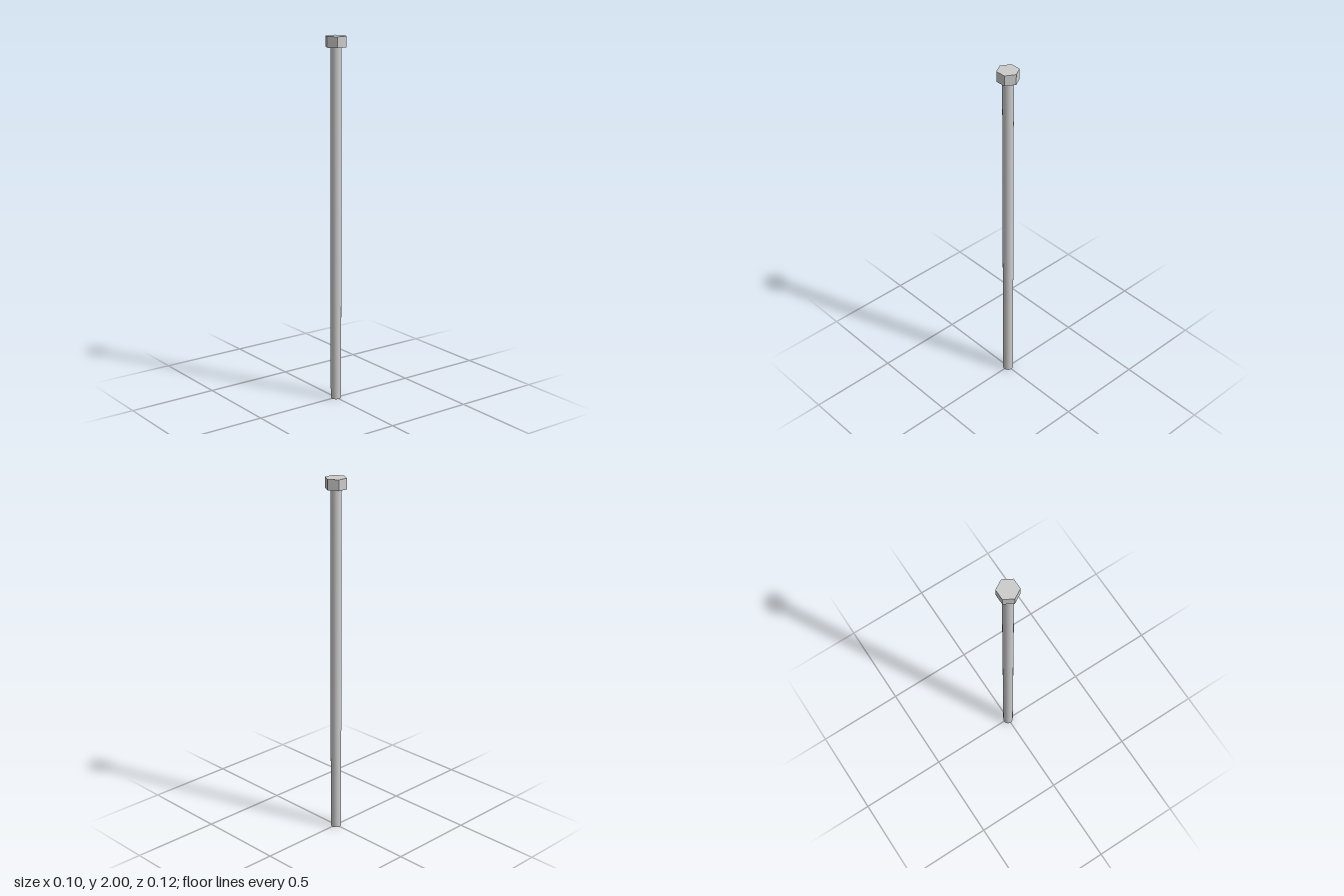
import * as THREE from 'three';

const HEIGHT = 2;
const HEAD_HEIGHT = 0.058;
const HEAD_RADIUS = 0.059; // across the corners, corners on the z axis
const SHANK_RADIUS = 0.029;

export function createModel() {
  const group = new THREE.Group();
  group.name = 'hexBolt';

  // Long round shank, from the ground to the underside of the head
  const shankLength = HEIGHT - HEAD_HEIGHT;
  const shank = new THREE.Mesh(
    new THREE.CylinderGeometry(SHANK_RADIUS, SHANK_RADIUS, shankLength, 32),
    new THREE.MeshStandardMaterial({ color: 0xcccccc })
  );
  shank.name = 'shank';
  shank.position.y = shankLength / 2;

  // Six-sided head
  const head = new THREE.Mesh(
    new THREE.CylinderGeometry(HEAD_RADIUS, HEAD_RADIUS, HEAD_HEIGHT, 6),
    new THREE.MeshStandardMaterial({ color: 0xcccccc, flatShading: true })
  );
  head.name = 'hexHead';
  head.position.y = HEIGHT - HEAD_HEIGHT / 2;

  group.add(shank, head);
  return group;
}
